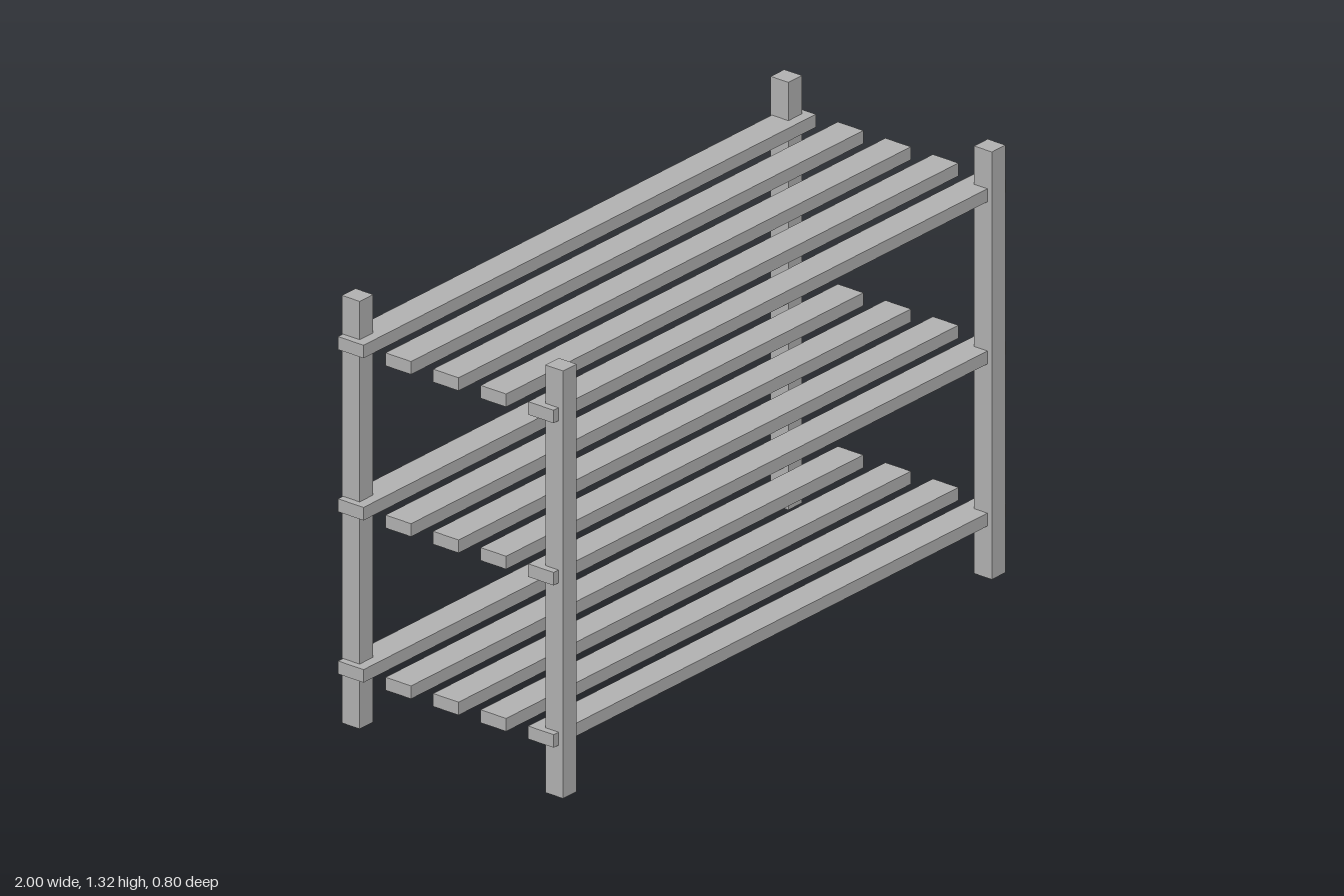
import * as THREE from 'three';

export function createModel() {
  const group = new THREE.Group();
  const grey = new THREE.MeshStandardMaterial({ color: 0xb3b3b3 });
  grey.name = 'grey';

  const postGeometry = new THREE.BoxGeometry(0.06, 1.318, 0.064);
  const slatGeometry = new THREE.BoxGeometry(2, 0.04, 0.092);

  const add = (parent, geometry, name, x, y, z) => {
    const mesh = new THREE.Mesh(geometry, grey);
    mesh.name = name;
    mesh.position.set(x, y, z);
    parent.add(mesh);
  };

  // Four corner posts
  for (const [side, x] of [['Left', 0.948], ['Right', -0.948]]) {
    add(group, postGeometry, `front${side}Post`, x, 0.659, 0.368);
    add(group, postGeometry, `back${side}Post`, x, 0.659, -0.368);
  }

  // Three shelves of five slats, set slightly towards the back
  ['lower', 'middle', 'upper'].forEach((level, i) => {
    const shelf = new THREE.Group();
    shelf.name = `${level}Shelf`;
    shelf.position.y = 0.18 + i * 0.5;
    for (let j = 0; j < 5; j++) {
      add(shelf, slatGeometry, `slat${j + 1}`, 0, 0, 0.338 - j * 0.172);
    }
    group.add(shelf);
  });

  return group;
}
